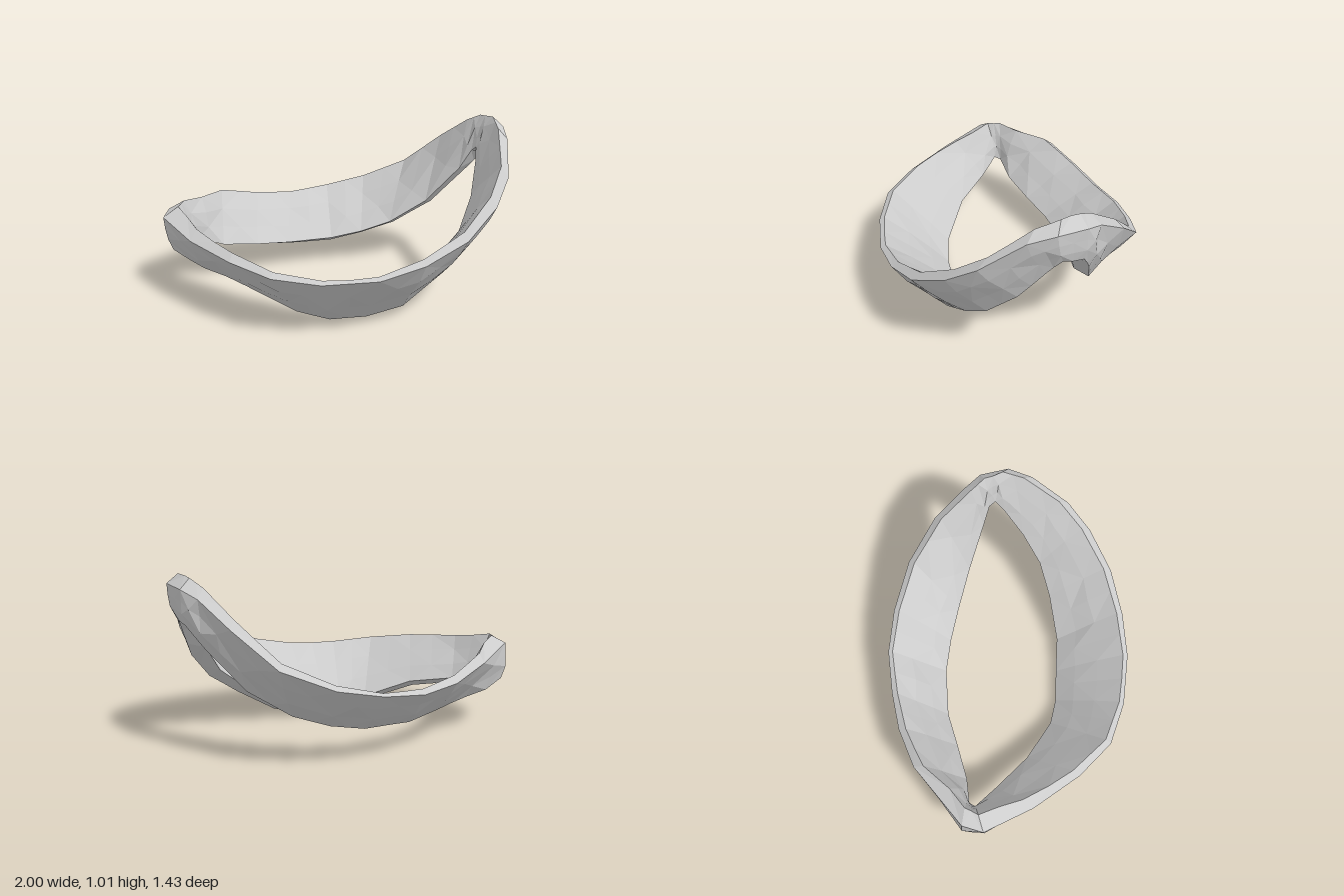
import * as THREE from 'three';

// Stations around the loop: outer top edge (x, y, z), inner bottom edge (x, y, z)
const STATIONS = [
  [0.1, 0.37, 0.715, 0.1, 0.05, 0.3],
  [0.35, 0.42, 0.68, 0.3, 0.1, 0.3],
  [0.6, 0.51, 0.6, 0.53, 0.26, 0.24],
  [0.8, 0.64, 0.46, 0.69, 0.4, 0.17],
  [0.91, 0.76, 0.32, 0.79, 0.57, 0.06],
  [0.975, 0.92, 0.1, 0.845, 0.74, -0.05],
  [1, 0.96, -0.04, 0.865, 0.82, -0.11],
  [0.96, 0.95, -0.2, 0.85, 0.79, -0.145],
  [0.89, 0.91, -0.29, 0.79, 0.67, -0.18],
  [0.77, 0.78, -0.46, 0.61, 0.44, -0.265],
  [0.57, 0.59, -0.62, 0.4, 0.29, -0.33],
  [0.3, 0.48, -0.7, 0.22, 0.22, -0.37],
  [0.05, 0.43, -0.72, 0.03, 0.18, -0.39],
  [-0.2, 0.4, -0.68, -0.25, 0.18, -0.36],
  [-0.42, 0.42, -0.62, -0.45, 0.21, -0.29],
  [-0.65, 0.48, -0.51, -0.66, 0.25, -0.22],
  [-0.97, 0.5, -0.22, -0.81, 0.31, -0.195],
  [-1, 0.49, -0.1, -0.83, 0.32, -0.16],
  [-0.85, 0.44, 0.17, -0.71, 0.26, -0.05],
  [-0.65, 0.41, 0.43, -0.51, 0.21, 0.13],
  [-0.45, 0.38, 0.61, -0.26, 0.1, 0.27],
  [-0.2, 0.36, 0.69, -0.1, 0.05, 0.3],
];

// Small seeded noise for the rough, faceted surface
function makeNoise(seed) {
  let s = seed;
  return () => {
    s = (s * 16807) % 2147483647;
    return s / 2147483647 - 0.5;
  };
}

// Cross-section of the slanted band: bottom edge, outer face, top edge, inner face
function bandSection(row, before, after, noise) {
  const { lerp, smoothstep } = THREE.MathUtils;
  const outerTop = new THREE.Vector3(row[0], row[1], row[2]);
  const innerBottom = new THREE.Vector3(row[3], row[4], row[5]);
  const out = outerTop.clone().sub(innerBottom).setY(0).normalize();
  // Horizontal direction square to the inner bottom edge
  const square = new THREE.Vector3(before[5] - after[5], 0, after[3] - before[3]).normalize();

  // The band is thicker in front than behind and swells towards both ends
  const side = Math.abs(row[3]);
  const front = smoothstep(row[2], -0.3, 0.2);
  const leftEnd = smoothstep(-row[3], 0.6, 0.82);
  const bottomRim = lerp(0.03 + 0.09 * side, 0.075 + 0.015 * side, front) + 0.04 * leftEnd;
  const topRim = 0.025 + 0.045 * side + 0.03 * leftEnd;

  const innerTop = outerTop.clone().addScaledVector(out, -topRim);
  innerTop.y += 0.01 + 0.05 * side;
  const bottomOut = out.clone().lerp(square, front).normalize();
  const outerBottom = innerBottom.clone().addScaledVector(bottomOut, bottomRim);
  outerBottom.y -= 0.025 + 0.025 * front;

  const between = (a, b, t, bulge) =>
    a.clone().lerp(b, t).addScaledVector(out, bulge + 0.02 * noise());
  return [
    outerBottom,
    between(outerBottom, outerTop, 1 / 3, 0.012),
    between(outerBottom, outerTop, 2 / 3, 0.012),
    outerTop,
    innerTop,
    between(innerTop, innerBottom, 1 / 3, -0.01),
    between(innerTop, innerBottom, 2 / 3, -0.01),
    innerBottom,
  ];
}

function bandGeometry() {
  // Add a halfway station after each given one
  const rows = STATIONS.flatMap((row, i) => {
    const next = STATIONS[(i + 1) % STATIONS.length];
    return [row, row.map((v, k) => (v + next[k]) / 2)];
  });
  const noise = makeNoise(77);
  const n = rows.length;
  const rings = rows.map((row, i) =>
    bandSection(row, rows[(i + n - 2) % n], rows[(i + 2) % n], noise));

  const m = rings[0].length;
  const positions = rings.flat().flatMap((p) => [p.x, Math.max(0, p.y), p.z]);
  const index = [];
  for (let i = 0; i < n; i++) {
    for (let j = 0; j < m; j++) {
      const a = i * m + j;
      const b = ((i + 1) % n) * m + j;
      const c = ((i + 1) % n) * m + ((j + 1) % m);
      const d = i * m + ((j + 1) % m);
      // Alternate the diagonal for irregular facets
      if ((i + j) % 2) index.push(a, b, c, a, c, d);
      else index.push(a, b, d, b, c, d);
    }
  }
  const geometry = new THREE.BufferGeometry();
  geometry.setAttribute('position', new THREE.Float32BufferAttribute(positions, 3));
  geometry.setIndex(index);
  geometry.computeVertexNormals();
  return geometry;
}

export function createModel() {
  const group = new THREE.Group();
  group.name = 'bentLoop';
  const material = new THREE.MeshStandardMaterial({ color: 0xcccccc, flatShading: true });
  const band = new THREE.Mesh(bandGeometry(), material);
  band.name = 'band';
  group.add(band);
  return group;
}
